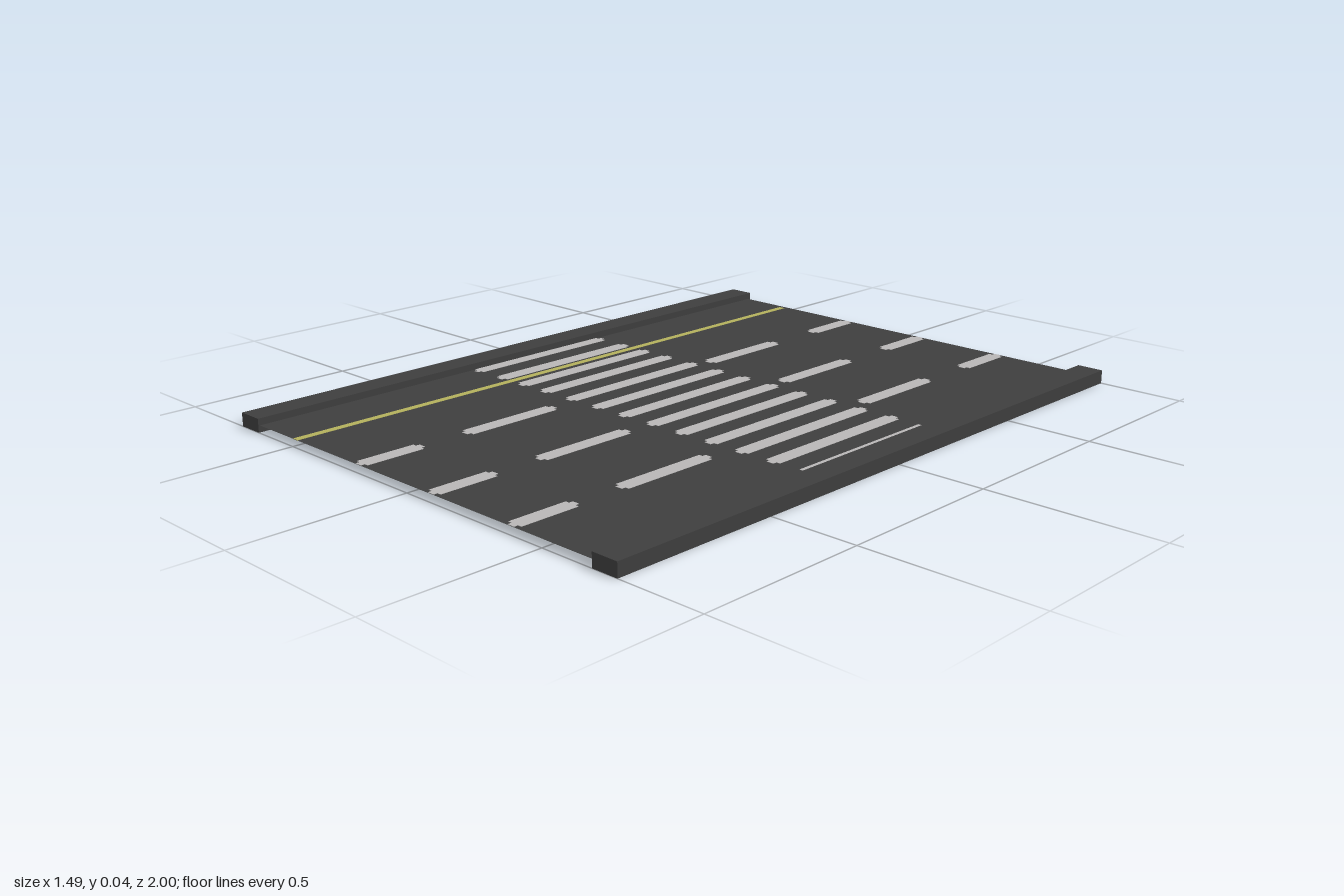
import * as THREE from 'three';

const ROAD_Y = 0.02; // road sheet sits at mid height of the kerbs
const PLATE = 0.002; // thickness of the painted markings

const material = (name, color, side = THREE.FrontSide) => {
  const m = new THREE.MeshStandardMaterial({ color, side });
  m.name = name;
  return m;
};

// Thin painted bar with notched ends, showing on both faces of the road
function markingGeometry(width, z0, z1, notch = 0.012) {
  const w = width / 2, h = (z1 - z0) / 2, n = notch;
  const shape = new THREE.Shape([
    [-w + n, -h], [w - n, -h], [w - n, -h + n], [w, -h + n],
    [w, h - n], [w - n, h - n], [w - n, h], [-w + n, h],
    [-w + n, h - n], [-w, h - n], [-w, -h + n], [-w + n, -h + n],
  ].map(([x, y]) => new THREE.Vector2(x, y)));
  const g = new THREE.ExtrudeGeometry(shape, { depth: PLATE, bevelEnabled: false });
  g.translate(0, 0, -PLATE / 2);
  g.rotateX(-Math.PI / 2);
  g.translate(0, ROAD_Y, (z0 + z1) / 2);
  return g;
}

export function createModel() {
  const model = new THREE.Group();
  model.name = 'roadSection';

  const asphalt = material('asphalt', 0x3e3e3e, THREE.DoubleSide);
  const white = material('whitePaint', 0xb8b6b6);
  const yellow = material('yellowPaint', 0xb3b05c);

  const add = (name, geometry, mat, x = 0, y = 0, z = 0, parent = model) => {
    const mesh = new THREE.Mesh(geometry, mat);
    mesh.name = name;
    mesh.position.set(x, y, z);
    parent.add(mesh);
    return mesh;
  };

  // Road sheet
  const road = new THREE.PlaneGeometry(1.33, 1.985);
  road.rotateX(-Math.PI / 2);
  add('road', road, asphalt, 0, ROAD_Y, 0.003);

  // Kerbs along both sides
  for (const [name, s] of [['leftKerb', 1], ['rightKerb', -1]]) {
    add(name, new THREE.BoxGeometry(0.08, 0.04, 2), asphalt, s * 0.705, 0.02, 0);
  }

  // Pedestrian crossing
  const crossing = new THREE.Group();
  crossing.name = 'crossing';
  model.add(crossing);
  const bar = markingGeometry(0.046, -0.262, 0.262);
  const bars = [-0.537, -0.44, -0.341, -0.231, -0.122, -0.014, 0.097, 0.206, 0.315, 0.424, 0.532];
  bars.forEach((x) => add('crossingBar', bar, white, x, 0, 0, crossing));
  const endBar = markingGeometry(0.04, -0.262, 0.262);
  [-0.645, 0.64].forEach((x) => add('crossingEndBar', endBar, white, x, 0, 0, crossing));

  // Dashed lane lines
  const dashes = [[-0.988, -0.79], [-0.615, -0.297], [0.333, 0.653], [0.793, 0.994]];
  const lanes = new THREE.Group();
  lanes.name = 'laneLines';
  model.add(lanes);
  for (const [z0, z1] of dashes) {
    const dash = markingGeometry(0.046, z0, z1);
    [-0.21, 0.088, 0.386].forEach((x) => add('laneDash', dash, white, x, 0, 0, lanes));
  }

  // Solid edge line
  add('edgeLine', new THREE.BoxGeometry(0.021, PLATE, 1.97), yellow, -0.493, ROAD_Y, 0.01);

  return model;
}
